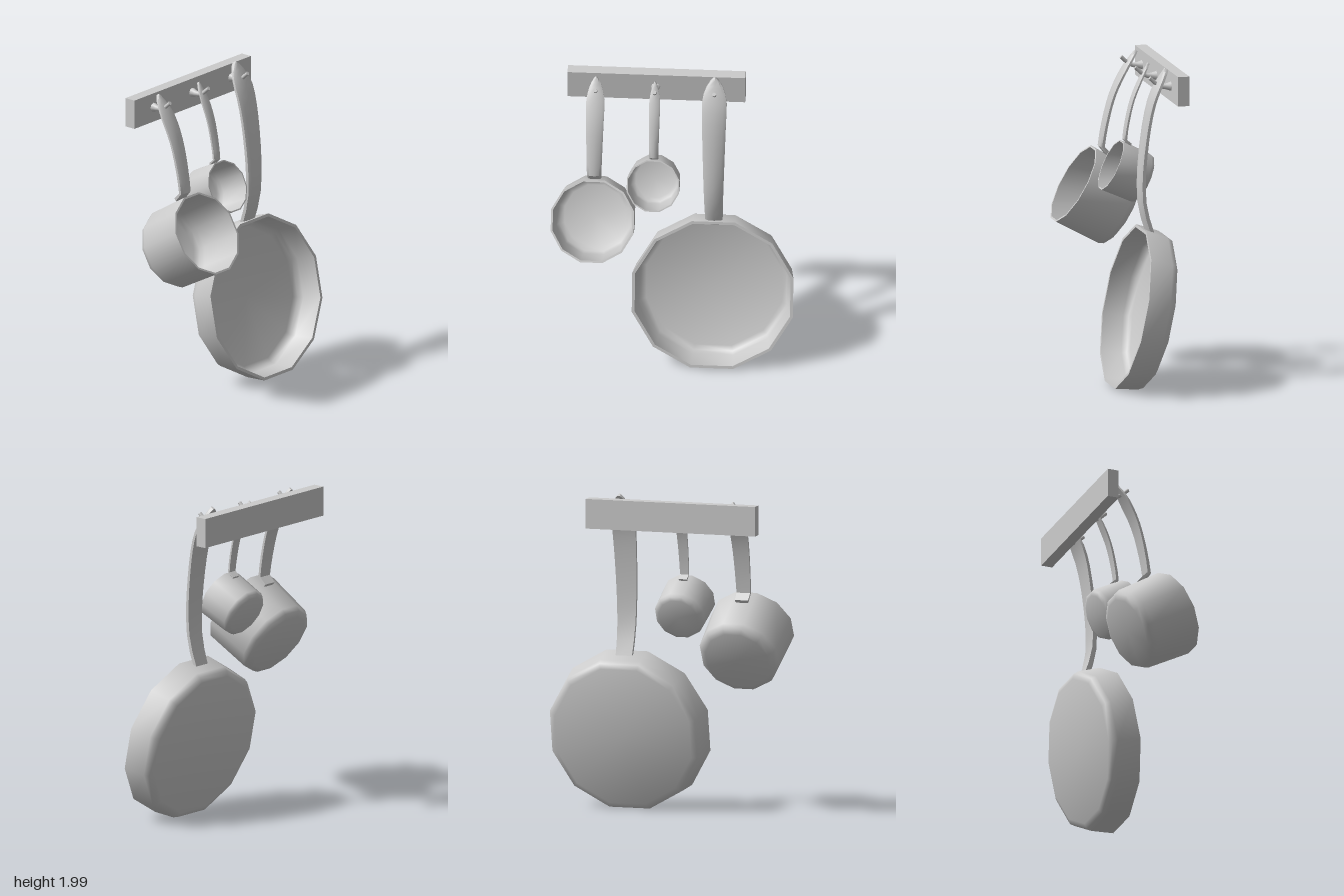
import * as THREE from 'three';
import { toCreasedNormals } from 'three/addons/utils/BufferGeometryUtils.js';

const material = new THREE.MeshStandardMaterial({ color: 0xcccccc });
const lerp = THREE.MathUtils.lerp;

function add(parent, name, geometry) {
  const mesh = new THREE.Mesh(geometry, material);
  mesh.name = name;
  parent.add(mesh);
  return mesh;
}

// Sweeps a cross-section along a smooth path of [z, y] points.
// size(u, point) gives [width, thickness]; rings crowd together towards the end.
function loft(path, rings, section, size, crease) {
  const curve = new THREE.CatmullRomCurve3(path.map(([z, y]) => new THREE.Vector3(0, y, z)));
  const n = section.length;
  const positions = [], index = [];
  for (let i = 0; i <= rings; i++) {
    const u = 1 - (1 - i / rings) ** 1.5;
    const p = curve.getPointAt(u), t = curve.getTangentAt(u);
    const [width, thick] = size(u, p);
    for (const [across, out] of section) {
      positions.push(across * width / 2, p.y - t.z * out * thick, p.z + t.y * out * thick);
    }
  }
  for (let i = 0; i < rings; i++) {
    for (let j = 0; j < n; j++) {
      const a = i * n + j, b = i * n + (j + 1) % n;
      index.push(a, b, b + n, a, b + n, a + n);
    }
  }
  const end = rings * n;
  for (let j = 1; j < n - 1; j++) index.push(0, j + 1, j, end, end + j, end + j + 1);
  const geometry = new THREE.BufferGeometry();
  geometry.setAttribute('position', new THREE.Float32BufferAttribute(positions, 3));
  geometry.setIndex(index);
  return toCreasedNormals(geometry, crease);
}

// Points on a circle, running from -x over the front to +x
function arc(count, step, lift, height) {
  return Array.from({ length: count }, (_, i) => [-Math.cos(i * step), lift + height * Math.sin(i * step)]);
}
const handleSection = [[-1, -0.5], ...arc(5, Math.PI / 4, 0.05, 0.45), [1, -0.5]];
const pegSection = arc(8, Math.PI / 4, 0, 0.5);

// Strap with a rounded front that widens upwards and closes to a point
function handleGeometry({ path, widths, thick }) {
  const tip = path[path.length - 1][1];
  return loft(path, 14, handleSection, (u, p) => {
    const taper = Math.sin(Math.PI / 2 * THREE.MathUtils.clamp((tip - p.y) / 0.16, 0, 1)) ** 0.6;
    const width = lerp(widths[0], widths[1], Math.min(1, u * 1.2));
    return [width * Math.max(0.1, taper), thick * (1 - 0.35 * u)];
  }, 0.75);
}

// Hollow twelve-sided vessel with a slight taper and a rounded base edge
function vesselGeometry({ radius, depth, bevel, wall, tilt }) {
  const shell = (r, d) => [
    [r, 0], [r * 0.965, d - bevel], [r * 0.965 - bevel * 0.3, d - bevel * 0.3], [r * 0.965 - bevel, d], [0, d],
  ];
  const profile = [...shell(radius, depth).reverse(), ...shell(radius - wall, depth - wall)];
  const points = profile.map(([r, d]) => new THREE.Vector2(r / Math.cos(Math.PI / 12), -d));
  const lathe = new THREE.LatheGeometry(points, 12, Math.PI / 12);
  return toCreasedNormals(lathe, 1.1).rotateX(Math.PI / 2 - tilt);
}

const fryingPan = {
  name: 'fryingPan', x: 0.245, rim: [0.507, 0.04], tilt: 0.2,
  radius: 0.499, depth: 0.19, bevel: 0.045, wall: 0.018,
  widths: [0.105, 0.155], thick: 0.042,
  path: [[-0.115, 0.95], [-0.063, 1.13], [-0.057, 1.35], [-0.1, 1.7], [-0.14, 1.84], [-0.218, 1.99]],
};
const largePot = {
  name: 'largePot', x: -0.49, rim: [1.152, 0.189], tilt: Math.PI / 6,
  radius: 0.257, depth: 0.355, bevel: 0.048, wall: 0.012,
  widths: [0.085, 0.118], thick: 0.032,
  path: [[-0.03, 1.327], [0.012, 1.36], [0.01, 1.42], [-0.052, 1.69], [-0.13, 1.855], [-0.21, 1.972]],
};
const smallPot = {
  name: 'smallPot', x: -0.124, rim: [1.33, 0.042], tilt: 0.44,
  radius: 0.162, depth: 0.235, bevel: 0.032, wall: 0.008,
  widths: [0.053, 0.072], thick: 0.024,
  path: [[-0.08, 1.45], [-0.047, 1.467], [-0.046, 1.51], [-0.088, 1.72], [-0.14, 1.85], [-0.197, 1.958]],
};

export function createModel() {
  const group = new THREE.Group();
  group.name = 'hangingPans';

  // Wall rail
  add(group, 'rail', new THREE.BoxGeometry(1.1, 0.185, 0.073)).position.set(-0.12, 1.877, -0.284);

  for (const v of [fryingPan, largePot, smallPot]) {
    const item = new THREE.Group();
    item.name = v.name;
    item.position.x = v.x;
    group.add(item);
    add(item, 'bowl', vesselGeometry(v)).position.set(0, v.rim[0], v.rim[1]);
    add(item, 'handle', handleGeometry(v));

    // Bent peg: flared at the rail, turned up through the handle
    const pegPath = [[-0.25, 1.88], [-0.178, 1.884], [-0.113, 1.936]];
    const pegSize = (u) => Array(2).fill(0.024 + 0.036 * (1 - u) ** 4);
    add(item, 'peg', loft(pegPath, 7, pegSection, pegSize, 0.9));
  }
  return group;
}
